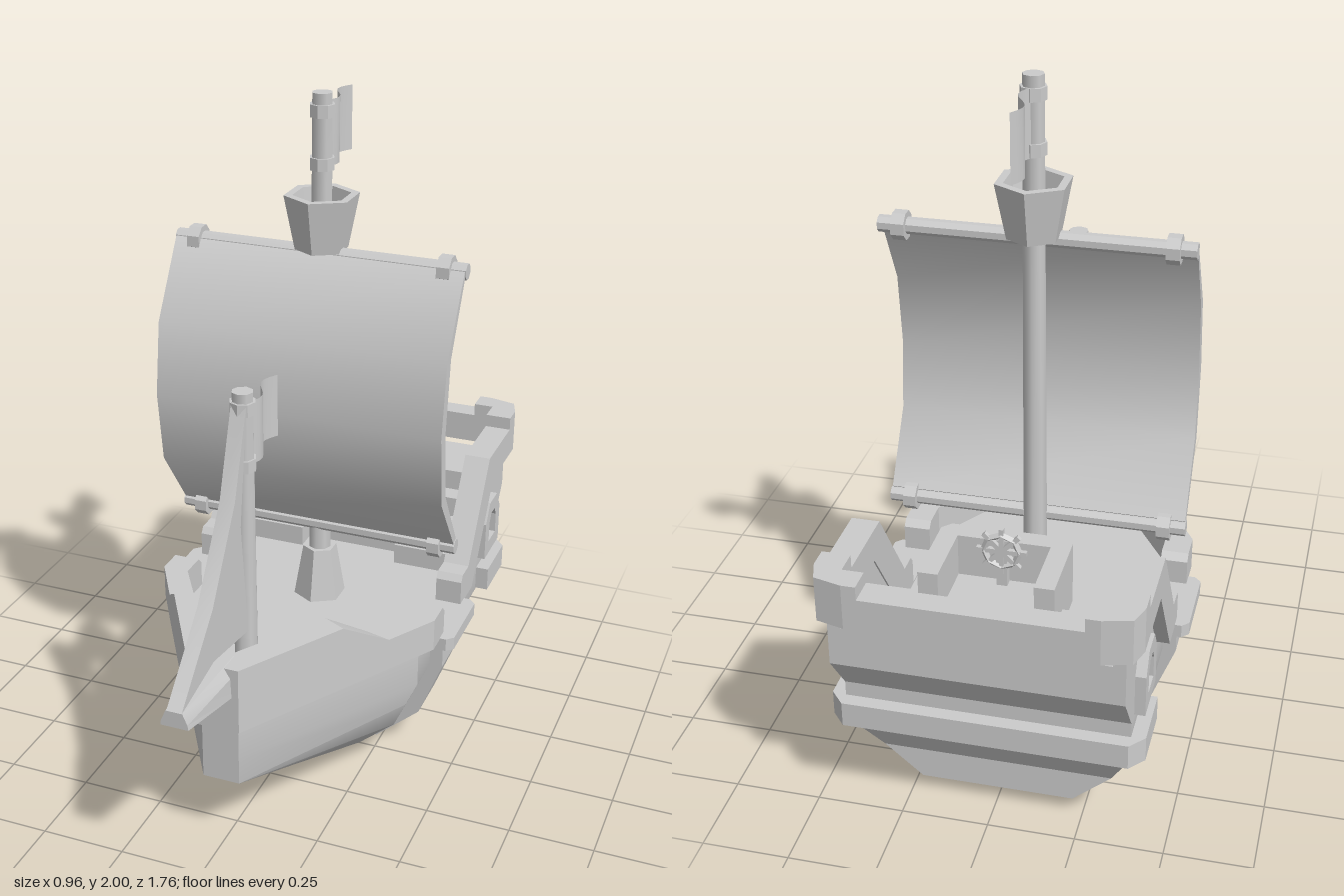
import * as THREE from 'three';
import { toCreasedNormals } from 'three/addons/utils/BufferGeometryUtils.js';

const grey = new THREE.MeshStandardMaterial({ color: 0xcccccc });
const thin = new THREE.MeshStandardMaterial({ color: 0xcccccc, side: THREE.DoubleSide });

export function createModel() {
  const ship = new THREE.Group();

  const add = (name, geo, mat = grey, crease = 0.5) => {
    const mesh = new THREE.Mesh(toCreasedNormals(geo, crease), mat);
    mesh.name = name;
    ship.add(mesh);
    return mesh;
  };
  const shapeOf = (pts) => new THREE.Shape(pts.map(([a, b]) => new THREE.Vector2(a, b)));
  const extrude = (shape, depth) => new THREE.ExtrudeGeometry(shape, { depth, bevelEnabled: false });

  // profile points are [z, y], thickness runs from x0 to x1
  const sideExtrude = (pts, x0, x1, hole) => {
    const s = shapeOf(pts);
    if (hole) s.holes.push(shapeOf(hole));
    return extrude(s, x1 - x0).rotateY(-Math.PI / 2).translate(x1, 0, 0);
  };
  // outline points are [x, z], height runs from y0 to y1
  const planExtrude = (pts, y0, y1) =>
    extrude(shapeOf(pts.map(([x, z]) => [x, -z])), y1 - y0).rotateX(-Math.PI / 2).translate(0, y0, 0);
  const mirrored = (half) => [...half, ...half.map(([x, z]) => [-x, z]).reverse()];
  const box = (x0, x1, y0, y1, z0, z1) =>
    new THREE.BoxGeometry(x1 - x0, y1 - y0, z1 - z0).translate((x0 + x1) / 2, (y0 + y1) / 2, (z0 + z1) / 2);

  // closed skin through equal-sized rings, capped at both ends
  const loft = (rings) => {
    const n = rings[0].length, index = [], last = (rings.length - 1) * n;
    for (let i = 0; i < rings.length - 1; i++) {
      for (let j = 0; j < n; j++) {
        const a = i * n + j, b = i * n + (j + 1) % n;
        index.push(a, b, b + n, a, b + n, a + n);
      }
    }
    for (let j = 1; j < n - 1; j++) index.push(0, j + 1, j, last, last + j, last + j + 1);
    const v = rings.flat().map((p) => new THREE.Vector3(...p));
    let volume = 0;
    for (let i = 0; i < index.length; i += 3) {
      volume += v[index[i]].dot(v[index[i + 1]].clone().cross(v[index[i + 2]]));
    }
    if (volume < 0) index.reverse();
    return new THREE.BufferGeometry().setFromPoints(v).setIndex(index);
  };

  // lower hull: [y, half width, stern z, bow half width, bow z]
  add('hull', loft([
    [0.045, 0.22, -0.64, 0.22, 0.06],
    [0.14, 0.33, -0.64, 0.13, 0.354],
    [0.22, 0.365, -0.69, 0.055, 0.605],
    [0.30, 0.40, -0.74, 0.055, 0.605],
    [0.42, 0.40, -0.74, 0.055, 0.605],
  ].map(([y, w, zs, b, zb]) => [
    [w, y, zs], [w, y, 0.06], [b, y, zb], [-b, y, zb], [-w, y, 0.06], [-w, y, zs],
  ])));

  // frame wrapped around the middle of the hull
  add('hullBand', extrude(shapeOf(mirrored([[0.235, 0], [0.37, 0.12], [0.44, 0.30], [0.44, 0.415]])), 0.17)
    .translate(0, 0, -0.23), grey, 0.2);

  // bow bulwark: [outer x, outer z, inner x, inner z, top y] from the gangway forward
  const bulwark = [
    [0.44, -0.06, 0.36, -0.06, 0.50],
    [0.44, -0.04, 0.36, -0.04, 0.52],
    [0.44, 0.04, 0.36, 0.04, 0.52],
    [0.35, 0.19, 0.277, 0.17, 0.52],
    [0.262, 0.335, 0.195, 0.30, 0.62],
    [0.075, 0.645, 0.03, 0.56, 0.62],
  ];
  const bulwarkRing = (s) => ([ox, oz, ix, iz, top]) =>
    [[s * ox, 0.42, oz], [s * ox, top, oz], [s * ix, top, iz], [s * ix, 0.42, iz]];
  add('bowBulwark', loft([...bulwark.map(bulwarkRing(1)), ...[...bulwark].reverse().map(bulwarkRing(-1))]), grey, 0.3);

  // bowsprit
  add('bowsprit', loft([[0.58, 0.057, 0.525], [0.645, 0.055, 0.53], [0.885, 0.04, 0.575]].map(([z, w, y]) => [
    [-w, y, z], [w, y, z], [w * 0.95, 0.59, z], [w * 0.6, 0.622, z], [-w * 0.6, 0.622, z], [-w * 0.95, 0.59, z],
  ])), grey, 0.3);

  // raised stern, stairs and steering platform
  add('quarterdeck', sideExtrude(
    [[-0.625, 0.41], [-0.74, 0.41], [-0.74, 0.425], [-0.84, 0.56], [-0.84, 0.68], [-0.625, 0.68]], -0.4, 0.4), grey, 0.2);
  add('steeringPlatform', box(-0.165, 0.165, 0.41, 0.68, -0.63, -0.49));
  add('steeringRail', planExtrude(mirrored([
    [0.13, -0.525], [0.13, -0.72], [0.185, -0.72], [0.185, -0.495], [0.16, -0.47],
  ]), 0.62, 0.805), grey, 0.2);

  for (const s of [1, -1]) {
    const side = s > 0 ? 'left' : 'right';
    const span = (a, b) => (s > 0 ? [a, b] : [-b, -a]);

    for (let i = 0; i < 3; i++) {
      add(`${side}Stair${i + 1}`, box(...span(0.16, 0.37), 0.41, 0.485 + i * 0.065, -0.63, -0.42 - i * 0.07));
    }
    add(`${side}SternWall`, sideExtrude(
      [[-0.33, 0.41], [-0.74, 0.41], [-0.74, 0.425], [-0.84, 0.56], [-0.84, 0.74], [-0.54, 0.74]], ...span(0.365, 0.4)), grey, 0.2);
    add(`${side}SternRail`, sideExtrude([
      [-0.235, 0.42], [-0.235, 0.50], [-0.25, 0.52], [-0.31, 0.52], [-0.505, 0.805],
      [-0.76, 0.805], [-0.76, 0.71], [-0.56, 0.71], [-0.36, 0.42],
    ], ...span(0.36, 0.44)), grey, 0.2);
    add(`${side}SternPost`, planExtrude([
      [0.36, -0.74], [0.44, -0.74], [0.44, -0.80], [0.42, -0.86], [0.34, -0.88],
      [0.30, -0.88], [0.30, -0.81], [0.36, -0.81],
    ].map(([x, z]) => [s * x, z]), 0.71, 0.845), grey, 0.2);
    add(`${side}GangwaySill`, planExtrude([
      [0.36, -0.275], [0.46, -0.275], [0.48, -0.255], [0.48, -0.04], [0.46, -0.02], [0.36, -0.02],
    ].map(([x, z]) => [s * x, z]), 0.385, 0.425), grey, 0.2);

    // arched window frame
    const arch = (w, y0, y1, y2) => [[-w, y0], [w, y0], [w, y1], [w * 0.5, y2], [-w * 0.5, y2], [-w, y1]]
      .map(([z, y]) => [z - 0.62, y]);
    add(`${side}WindowFrame`, sideExtrude(arch(0.08, 0.425, 0.55, 0.61), ...span(0.39, 0.43), arch(0.038, 0.47, 0.535, 0.565)), grey, 0.2);
  }
  add('transomRail', planExtrude(mirrored([[0.31, -0.81], [0.31, -0.88]]), 0.71, 0.805));
  add('sternBelt', planExtrude(mirrored([
    [0.38, -0.70], [0.38, -0.555], [0.44, -0.555], [0.44, -0.735], [0.40, -0.78],
  ]), 0.305, 0.38), grey, 0.2);

  // steering wheel with crossed spokes and a post
  const wheel = new THREE.Group();
  wheel.name = 'steeringWheel';
  wheel.position.set(0, 0.79, -0.55);
  wheel.add(new THREE.Mesh(toCreasedNormals(new THREE.TorusGeometry(0.05, 0.01, 4, 8), 0.3), grey));
  for (let i = 0; i < 4; i++) {
    wheel.add(new THREE.Mesh(new THREE.BoxGeometry(0.14, 0.013, 0.013).rotateZ(i * Math.PI / 4), grey));
  }
  wheel.add(new THREE.Mesh(new THREE.BoxGeometry(0.03, 0.12, 0.03).translate(0, -0.06, 0.012), grey));
  ship.add(wheel);

  // masts with collars and a waving flag: z, bottom, top
  const tube = (r0, r1, y0, y1, z, sides = 6) =>
    new THREE.CylinderGeometry(r1, r0, y1 - y0, sides).translate(0, (y0 + y1) / 2, z);
  const mast = (name, z, y0, y1, collars, flagTop, flagBottom) => {
    add(name, tube(0.036, 0.03, y0, y1, z, 8), grey, 0.9);
    collars.forEach((y) => add(`${name}Collar`, tube(0.037, 0.037, y - 0.018, y + 0.018, z, 8)));
    const flag = new THREE.PlaneGeometry(0.21, flagTop - flagBottom, 10, 1)
      .rotateY(Math.PI / 2).translate(0, (flagTop + flagBottom) / 2, z - 0.13);
    const p = flag.attributes.position;
    for (let i = 0; i < p.count; i++) {
      p.setX(i, 0.02 * Math.sin((z - 0.03 - p.getZ(i)) * 2 * Math.PI / 0.2));
    }
    add(`${name}Flag`, flag, thin, 0.9);
  };
  mast('mainMast', -0.164, 0.42, 2.0, [1.95, 1.80], 1.97, 1.78);
  mast('foreMast', 0.415, 0.42, 1.335, [1.29, 1.125], 1.29, 1.105);
  add('mainMastFoot', tube(0.08, 0.052, 0.42, 0.585, -0.164));

  // open six-sided lookout basket
  add('lookoutBasket', new THREE.LatheGeometry([
    [0, 1.55], [0.078, 1.55], [0.11, 1.71], [0.085, 1.71], [0.065, 1.61], [0, 1.61],
  ].map(([r, y]) => new THREE.Vector2(r, y)), 6).translate(0, 0, -0.164), thin, 0.3);

  // yards and their collars
  for (const [name, y] of [['upperYard', 1.54], ['lowerYard', 0.675]]) {
    const bar = (r, w, x) => new THREE.CylinderGeometry(r, r, w, 8).rotateX(0).rotateY(Math.PI / 8)
      .rotateZ(Math.PI / 2).translate(x, y, -0.145);
    add(name, bar(0.024, 0.885, 0));
    for (const x of [-0.38, 0.38]) add(`${name}Collar`, bar(0.042, 0.038, x));
  }

  // billowing main sail and triangular fore sail
  add('mainSail', sideExtrude([
    [-0.145, 1.56], [-0.12, 1.545], [0.015, 1.325], [0.045, 1.105], [0.015, 0.885], [-0.135, 0.68],
    [-0.15, 0.70], [-0.02, 0.90], [0.005, 1.105], [-0.02, 1.325],
  ], -0.44, 0.44), grey, 0.65);
  add('foreSail', sideExtrude([
    [0.44, 1.31], [0.525, 1.06], [0.68, 0.82], [0.885, 0.62], [0.68, 0.66], [0.45, 0.625], [0.49, 0.97],
  ], -0.022, 0.022), grey, 0.6);

  return ship;
}
